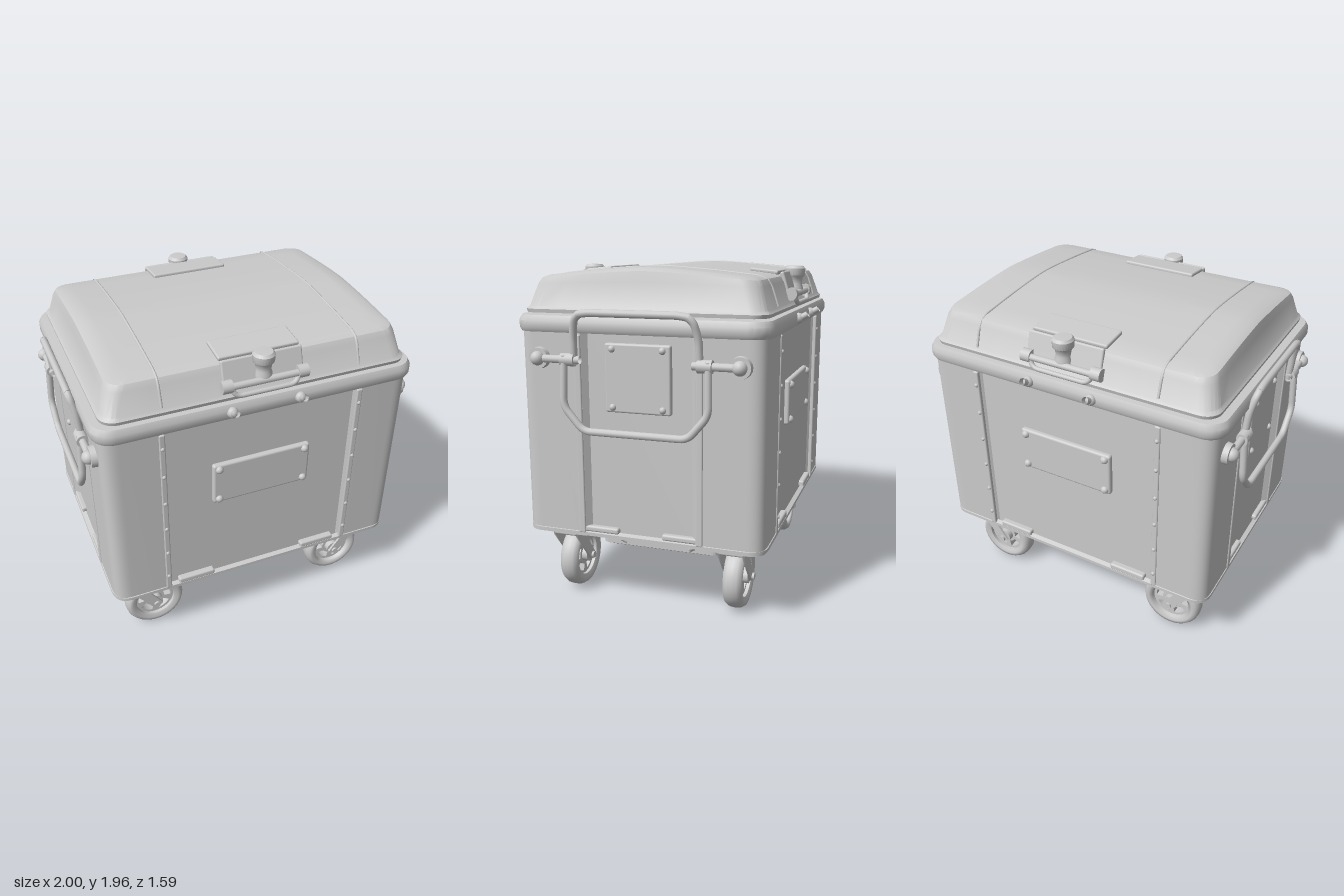
import * as THREE from 'three';
import { toCreasedNormals } from 'three/addons/utils/BufferGeometryUtils.js';
import { RoundedBoxGeometry } from 'three/addons/geometries/RoundedBoxGeometry.js';

const mat = new THREE.MeshStandardMaterial({ color: 0xcccccc, side: THREE.DoubleSide });
const V = (x, y, z) => new THREE.Vector3(x, y, z);

function add(parent, name, geo, x = 0, y = 0, z = 0) {
  const m = new THREE.Mesh(geo, mat);
  m.name = name;
  m.position.set(x, y, z);
  parent.add(m);
  return m;
}

// Round bar following straight segments with softened corners
function bar(parent, name, pts, r) {
  const path = new THREE.CurvePath();
  let prev = pts[0];
  for (let i = 1; i < pts.length; i++) {
    if (i === pts.length - 1) { path.add(new THREE.LineCurve3(prev, pts[i])); break; }
    const soft = 0.045;
    const a = pts[i].clone().add(pts[i - 1].clone().sub(pts[i]).setLength(soft));
    const b = pts[i].clone().add(pts[i + 1].clone().sub(pts[i]).setLength(soft));
    path.add(new THREE.LineCurve3(prev, a));
    path.add(new THREE.QuadraticBezierCurve3(a, pts[i], b));
    prev = b;
  }
  return add(parent, name, new THREE.TubeGeometry(path, pts.length * 14, r, 10));
}

// Rounded rectangle as a loop of [x, z], with the straight edges subdivided
function ring(hx, hz, r) {
  const corners = [[1, 1], [-1, 1], [-1, -1], [1, -1]], arcs = [], out = [];
  corners.forEach(([sx, sz], k) => {
    const arc = [];
    for (let i = 0; i <= 6; i++) {
      const a = (k + i / 6) * Math.PI / 2;
      arc.push([sx * (hx - r) + r * Math.cos(a), sz * (hz - r) + r * Math.sin(a)]);
    }
    arcs.push(arc);
  });
  arcs.forEach((arc, k) => {
    out.push(...arc);
    const a = arc[6], b = arcs[(k + 1) % 4][0];
    for (let i = 1; i < 10; i++) out.push([a[0] + (b[0] - a[0]) * i / 10, a[1] + (b[1] - a[1]) * i / 10]);
  });
  return out;
}

// Skin over rings [hx, hz, radius, y, arch]; the arch lifts the middle of z
function loft(rings) {
  const pos = [], idx = [];
  let n = 0;
  rings.forEach(([hx, hz, r, y, arch = 0], k) => {
    const loop = ring(hx, hz, r);
    n = loop.length;
    loop.forEach(([x, z], i) => {
      pos.push(x, y + arch * (1 - Math.pow(Math.min(1, Math.abs(z) / 0.64), 1.4)), z);
      if (!k) return;
      const a = (k - 1) * n + i, b = (k - 1) * n + (i + 1) % n;
      idx.push(a, a + n, b, b, a + n, b + n);
    });
  });
  const g = new THREE.BufferGeometry();
  g.setAttribute('position', new THREE.Float32BufferAttribute(pos, 3));
  g.setIndex(idx);
  return toCreasedNormals(g, 0.6);
}

function extrude(shape, depth, bevel = 0) {
  return toCreasedNormals(new THREE.ExtrudeGeometry(shape, {
    depth, bevelEnabled: bevel > 0, bevelSize: bevel, bevelThickness: bevel, bevelSegments: 2, curveSegments: 10,
  }), 0.6);
}

// Body: rounded posts at the corners, sunken panels between them
function buildBody(g) {
  const X = 0.92, Z = 0.71, d = 0.03, r = 0.1, s = new THREE.Shape();
  const quarter = [[X - d, 0.3], [X, 0.33], [X, Z - r], [X, Z], [X - r, Z], [0.6, Z], [0.565, Z - d]];
  s.moveTo(X - d, -0.3);
  [[1, 1], [-1, 1], [-1, -1], [1, -1]].forEach(([sx, sy]) => {
    let q = quarter.map(([x, y]) => [x * sx, y * sy]);
    if (sx * sy < 0) q = q.reverse();
    s.lineTo(...q[0]); s.lineTo(...q[1]); s.lineTo(...q[2]);
    s.quadraticCurveTo(...q[3], ...q[4]);
    s.lineTo(...q[5]); s.lineTo(...q[6]);
  });
  add(g, 'body', extrude(s, 1.19).rotateX(-Math.PI / 2), 0, 0.43, 0);
  add(g, 'bottomFlange', loft([[0.9, 0.69, 0.1, 0.43], [0.925, 0.715, 0.1, 0.435], [0.925, 0.715, 0.1, 0.455], [0.9, 0.69, 0.1, 0.465]]));
  add(g, 'rim', loft([[0.9, 0.68, 0.1, 1.595], [0.94, 0.72, 0.11, 1.6], [0.952, 0.73, 0.12, 1.62],
    [0.952, 0.73, 0.12, 1.66], [0.935, 0.715, 0.11, 1.69], [0.87, 0.65, 0.08, 1.695], [0.2, 0, 0, 1.695]]));

  for (const s1 of [-1, 1]) for (const s2 of [-1, 1]) {
    add(g, 'frontSeam', new RoundedBoxGeometry(0.035, 1.14, 0.025, 2, 0.008), s1 * 0.59, 1.02, s2 * 0.705);
    add(g, 'sideSeam', new RoundedBoxGeometry(0.025, 1.14, 0.04, 2, 0.008), s1 * 0.915, 1.02, s2 * 0.35);
    add(g, 'lowerBracket', new RoundedBoxGeometry(0.23, 0.04, 0.05, 2, 0.012), s1 * 0.41, 0.47, s2 * 0.69);
    add(g, 'sideLowerBracket', new RoundedBoxGeometry(0.05, 0.035, 0.24, 2, 0.012), s1 * 0.895, 0.475, s2 * 0.25);
    for (let i = 0; i < 6; i++) {
      add(g, 'rivet', new THREE.SphereGeometry(0.013, 8, 6), s1 * 0.59, 0.55 + i * 0.19, s2 * 0.715);
    }
  }
}

// Bolted plates on all four walls
function buildPlates(g) {
  for (const s of [-1, 1]) {
    add(g, 'frontPlate', new RoundedBoxGeometry(0.6, 0.27, 0.04, 2, 0.015), 0, 1.155, s * 0.69);
    add(g, 'sidePlate', new RoundedBoxGeometry(0.04, 0.38, 0.38, 2, 0.012), s * 0.9, 1.36, 0);
    for (const a of [-1, 1]) for (const b of [-1, 1]) {
      add(g, 'plateBolt', new THREE.SphereGeometry(0.024, 10, 8), a * 0.265, 1.155 + b * 0.105, s * 0.708);
      add(g, 'plateBolt', new THREE.SphereGeometry(0.02, 10, 8), s * 0.918, 1.36 + b * 0.16, a * 0.145);
    }
  }
}

// Lid: flared edge, sloped walls and a gently peaked roof
function buildLid(g) {
  const rings = [[0.86, 0.66, 0.08, 1.7], [0.895, 0.695, 0.09, 1.7], [0.898, 0.7, 0.09, 1.72], [0.882, 0.685, 0.09, 1.735],
    [0.85, 0.645, 0.09, 1.855, 0.02], [0.835, 0.625, 0.09, 1.885, 0.045], [0.8, 0.59, 0.08, 1.895, 0.052]];
  for (let i = 1; i <= 6; i++) rings.push([0.8 - i * 0.07, 0.59 * (1 - i / 6), 0.08 * (1 - i / 6), 1.895, 0.055]);
  add(g, 'lid', loft(rings));
  const seam = [V(0, 1.74, 0.685), V(0, 1.865, 0.643), V(0, 1.9, 0.6), V(0, 1.926, 0.35), V(0, 1.944, 0.12), V(0, 1.949, 0)];
  const full = [...seam, ...seam.slice(0, -1).reverse().map(p => V(0, p.y, -p.z))];
  for (const s of [-1, 1]) {
    bar(g, 'lidSeam', full, 0.008).position.x = s * 0.575;
  }
}

// Latch: cover plate, twin bars with rollers, knob and rim pegs
function buildLatch() {
  const g = new THREE.Group();
  g.name = 'latch';
  add(g, 'latchCover', new RoundedBoxGeometry(0.47, 0.025, 0.17, 2, 0.01), 0, 1.915, 0.525).rotation.x = 0.1;
  add(g, 'latchFace', new RoundedBoxGeometry(0.47, 0.14, 0.025, 2, 0.01), 0, 1.845, 0.65).rotation.x = -0.3;
  bar(g, 'latchBar', [V(-0.22, 1.785, 0.7), V(0.22, 1.785, 0.7)], 0.02);
  bar(g, 'latchLoop', [V(-0.2, 1.79, 0.7), V(-0.18, 1.73, 0.715), V(0.18, 1.73, 0.715), V(0.2, 1.79, 0.7)], 0.014);
  const knob = [[0, 0], [0.05, 0], [0.05, 0.03], [0.043, 0.05], [0.047, 0.085], [0.06, 0.1], [0.062, 0.14], [0.05, 0.155], [0, 0.157]];
  add(g, 'knob', toCreasedNormals(new THREE.LatheGeometry(knob.map(p => new THREE.Vector2(...p)), 24), 0.7), 0, 1.785, 0.665);
  for (const s of [-1, 1]) {
    add(g, 'roller', new THREE.CylinderGeometry(0.037, 0.037, 0.06, 16).rotateZ(Math.PI / 2), s * 0.22, 1.785, 0.69);
    add(g, 'rimPegBase', new THREE.SphereGeometry(0.032, 12, 8), s * 0.2, 1.645, 0.73);
    bar(g, 'rimPeg', [V(s * 0.2, 1.635, 0.72), V(s * 0.2, 1.67, 0.785)], 0.02);
  }
  return g;
}

// Side handles: lower swing loop and upper lifting loop on two pivots
function buildHandle() {
  const g = new THREE.Group();
  g.name = 'sideHandle';
  bar(g, 'lowerHandle', [V(0.96, 1.48, 0.41), V(0.975, 1.2, 0.415), V(0.972, 1.065, 0.3),
    V(0.972, 1.065, -0.3), V(0.975, 1.2, -0.415), V(0.96, 1.48, -0.41)], 0.021);
  bar(g, 'upperHandle', [V(0.94, 1.43, 0.36), V(0.955, 1.6, 0.355), V(0.98, 1.7, 0.33), V(0.982, 1.715, 0.27),
    V(0.982, 1.715, -0.27), V(0.98, 1.7, -0.33), V(0.955, 1.6, -0.355), V(0.94, 1.43, -0.36)], 0.021);
  for (const s of [-1, 1]) {
    bar(g, 'pivotBar', [V(0.95, 1.455, s * 0.32), V(0.95, 1.455, s * 0.6)], 0.022);
    add(g, 'pivotDisc', new THREE.CylinderGeometry(0.058, 0.062, 0.045, 20).rotateZ(-Math.PI / 2), 0.93, 1.455, s * 0.575);
    add(g, 'pivotKnob', new THREE.SphereGeometry(0.04, 14, 10), 0.955, 1.455, s * 0.575);
    add(g, 'pivotCollar', new THREE.CylinderGeometry(0.036, 0.036, 0.08, 16).rotateX(Math.PI / 2), 0.95, 1.455, s * 0.39);
  }
  return g;
}

// Caster: tyre, slotted disc, hub and a leaning fork
function buildCaster() {
  const g = new THREE.Group(), hub = V(0.64, 0.19, 0.508);
  g.name = 'caster';
  const tyre = [[0.125, -0.045], [0.15, -0.057], [0.172, -0.053], [0.187, -0.03], [0.19, 0],
    [0.187, 0.03], [0.172, 0.053], [0.15, 0.057], [0.125, 0.045], [0.125, -0.045]];
  add(g, 'tyre', new THREE.LatheGeometry(tyre.map(p => new THREE.Vector2(...p)), 40).rotateX(Math.PI / 2), ...hub.toArray());
  const disc = new THREE.Shape().absarc(0, 0, 0.13, 0, Math.PI * 2);
  for (let i = 0; i < 5; i++) {
    const a = i * Math.PI * 0.4 + 0.3, w = 0.42;
    const slot = new THREE.Path();
    slot.absarc(0, 0, 0.108, a - w, a + w, false);
    slot.absarc(0, 0, 0.065, a + w, a - w, true);
    disc.holes.push(slot);
  }
  add(g, 'wheelDisc', extrude(disc, 0.05), hub.x, hub.y, hub.z - 0.025);
  add(g, 'hub', new THREE.CylinderGeometry(0.045, 0.045, 0.12, 20).rotateX(Math.PI / 2), ...hub.toArray());
  add(g, 'axle', new THREE.CylinderGeometry(0.02, 0.02, 0.185, 12).rotateX(Math.PI / 2), ...hub.toArray());
  const arm = new THREE.Shape();
  arm.moveTo(0.6, 0.185); arm.quadraticCurveTo(0.64, 0.135, 0.68, 0.195);
  arm.lineTo(0.83, 0.375); arm.lineTo(0.845, 0.425); arm.lineTo(0.71, 0.425); arm.lineTo(0.725, 0.36);
  for (const s of [-1, 1]) add(g, 'forkArm', extrude(arm, 0.014), 0, 0, hub.z + s * 0.072 - 0.007);
  const crown = add(g, 'forkCrown', new RoundedBoxGeometry(0.13, 0.04, 0.15, 2, 0.012), 0.775, 0.395, hub.z);
  crown.rotation.z = 0.1;
  add(g, 'swivel', new THREE.CylinderGeometry(0.07, 0.07, 0.04, 20), 0.775, 0.42, hub.z);
  return g;
}

// Underside: shallow pan, diagonal braces and a drain
function buildUnderside(g) {
  add(g, 'pan', loft([[0.2, 0, 0, 0.25], [0.58, 0.34, 0.03, 0.255], [0.61, 0.365, 0.03, 0.27],
    [0.61, 0.365, 0.03, 0.34], [0.59, 0.34, 0.03, 0.365], [0.64, 0.4, 0.03, 0.435]]));
  add(g, 'drain', new THREE.CylinderGeometry(0.1, 0.085, 0.1, 24), -0.66, 0.31, 0);
  add(g, 'drainNeck', new THREE.CylinderGeometry(0.14, 0.1, 0.08, 24), -0.66, 0.395, 0);
  for (const sx of [-1, 1]) for (const sz of [-1, 1]) {
    bar(g, 'brace', [V(sx * 0.68, 0.43, sz * 0.39), V(sx * 0.62, 0.3, sz * 0.2)], 0.02);
  }
}

export function createModel() {
  const root = new THREE.Group();
  root.name = 'wasteContainer';
  buildBody(root);
  buildPlates(root);
  buildLid(root);
  buildUnderside(root);
  for (const turn of [0, Math.PI]) {
    for (const part of [buildLatch(), buildHandle()]) {
      part.rotation.y = turn;
      root.add(part);
    }
    // Each caster and its neighbour are mirrored across x by a half turn and a depth shift
    for (const depth of [0, 1]) {
      const caster = buildCaster();
      caster.rotation.y = turn;
      caster.position.z = (turn ? 1 : -1) * depth * 1.016;
      root.add(caster);
    }
  }
  return root;
}
